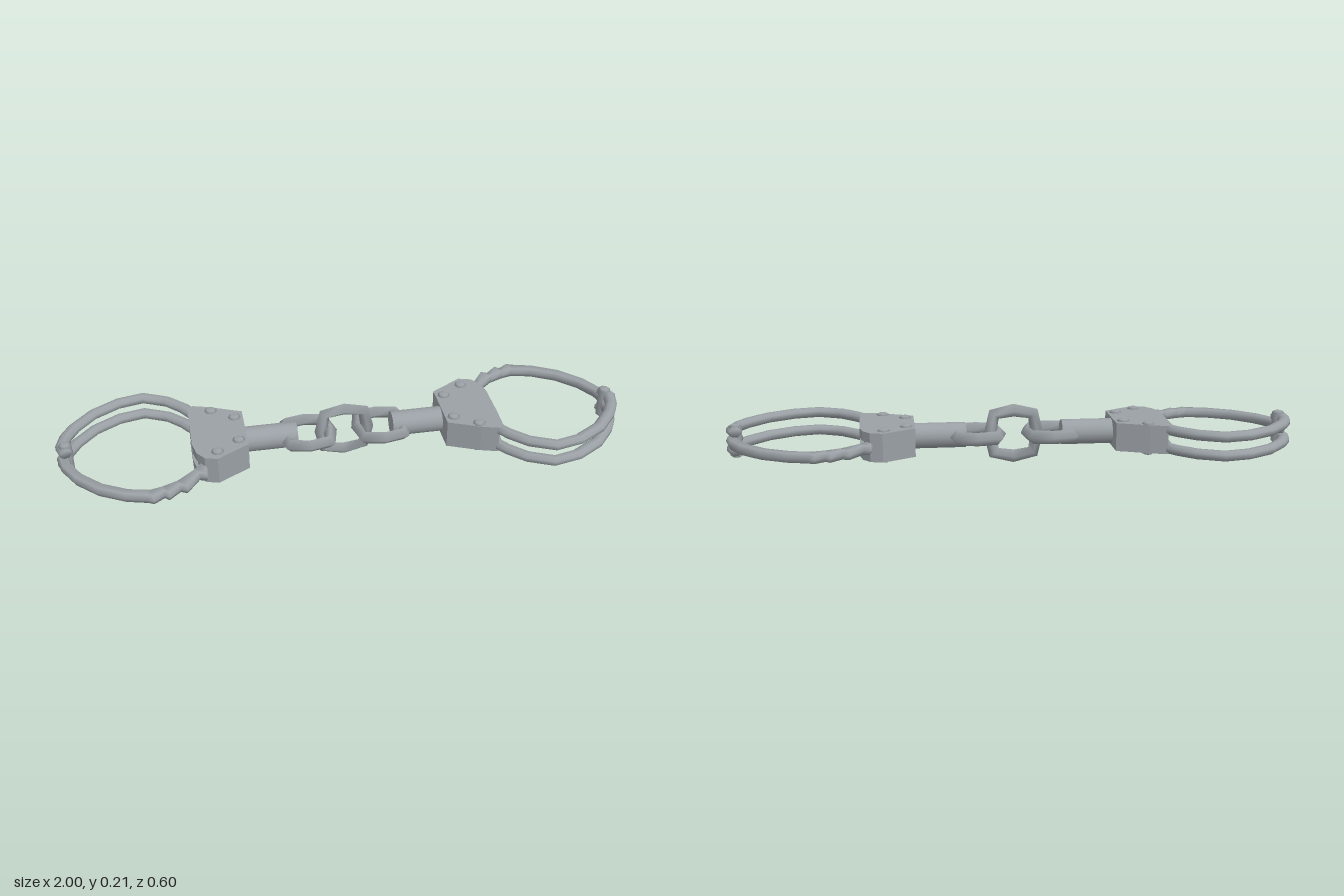
import * as THREE from 'three';

const MID = 0.108; // height of the mid plane
const steel = new THREE.MeshStandardMaterial({ color: 0x9aa0a5 });
steel.name = 'steel';

// Sweeps a cross-section along a path in the xz plane.
// section(i) returns [outward, up] pairs, going from outward to up.
function sweep(path, section, closed = false) {
  const n = path.length, pos = [], idx = [];
  const m = section(0).length;
  for (let i = 0; i < n; i++) {
    const a = closed ? path[(i + n - 1) % n] : path[Math.max(i - 1, 0)];
    const b = closed ? path[(i + 1) % n] : path[Math.min(i + 1, n - 1)];
    const t = new THREE.Vector2(b[0] - a[0], b[1] - a[1]).normalize();
    for (const [u, v] of section(i)) pos.push(path[i][0] + t.y * u, v, path[i][1] - t.x * u);
  }
  for (let i = 0; i < (closed ? n : n - 1); i++) {
    for (let j = 0; j < m; j++) {
      const k = (j + 1) % m, r = i * m, s = ((i + 1) % n) * m;
      idx.push(r + j, r + k, s + j, r + k, s + k, s + j);
    }
  }
  if (!closed) {
    const e = (n - 1) * m;
    for (let j = 1; j < m - 1; j++) idx.push(0, j + 1, j, e, e + j, e + j + 1);
  }
  const g = new THREE.BufferGeometry();
  g.setAttribute('position', new THREE.Float32BufferAttribute(pos, 3));
  g.setIndex(idx);
  g.computeVertexNormals();
  return g;
}

function part(parent, name, geometry, x = 0, y = 0, z = 0) {
  const mesh = new THREE.Mesh(geometry, steel);
  mesh.name = name;
  mesh.position.set(x, y, z);
  parent.add(mesh);
  return mesh;
}

// Flat plate from an xz outline, between two heights
function plate(outline, y0, y1) {
  const shape = new THREE.Shape(outline.map(([x, z]) => new THREE.Vector2(x, -z)));
  const g = new THREE.ExtrudeGeometry(shape, { depth: y1 - y0, bevelEnabled: false });
  return g.rotateX(-Math.PI / 2).translate(0, y0, 0);
}

const ellipse = (rx, ry, n) => Array.from({ length: n }, (_, j) => {
  const a = ((j + 0.5) / n) * Math.PI * 2;
  return [Math.cos(a) * rx, Math.sin(a) * ry];
});

// Chain link: squared octagon ring with a diamond section
function linkGeometry() {
  const path = Array.from({ length: 8 }, (_, i) => {
    const a = (i * Math.PI) / 4, r = i % 2 ? 0.098 : 0.083;
    return [Math.cos(a) * r, -Math.sin(a) * r];
  });
  const diamond = [[0.023, 0], [0, 0.024], [-0.023, 0], [0, -0.024]];
  return sweep(path, () => diamond, true);
}

function createCuff() {
  const cuff = new THREE.Group();

  // Twin fixed rails, from the hinge round to the housing
  const railPath = [[0.963, -0.022], [0.979, 0.02], [0.965, 0.075], [0.935, 0.13], [0.87, 0.205],
    [0.78, 0.26], [0.69, 0.28], [0.605, 0.24], [0.55, 0.185], [0.5, 0.11]];
  const railSection = ellipse(0.022, 0.0184, 8);
  const rail = sweep(railPath, () => railSection);
  for (const s of [1, -1]) part(cuff, s > 0 ? 'upperRail' : 'lowerRail', rail, 0, MID + s * 0.033, 0);

  // Swinging arm; the third value pushes the outer edge out to form ratchet teeth
  const armPath = [[0.48, -0.1, 0.02], [0.512, -0.15, 0.02], [0.53, -0.172, 0.04], [0.535, -0.178, 0.018],
    [0.592, -0.228, 0.036], [0.598, -0.231, 0.016], [0.645, -0.252, 0.034], [0.651, -0.254, 0.016],
    [0.69, -0.264, 0.032], [0.7, -0.264, 0.022], [0.77, -0.247, 0.02], [0.855, -0.2, 0.02],
    [0.925, -0.13, 0.02], [0.965, -0.06, 0.02], [0.979, 0, 0.02], [0.962, 0.045, 0.018]];
  const arm = sweep(armPath, (i) => {
    const o = armPath[i][2];
    return [[o, 0], [o - 0.008, 0.0165], [-0.014, 0.0165], [-0.02, 0], [-0.014, -0.0165], [o - 0.008, -0.0165]];
  });
  part(cuff, 'swingArm', arm, 0, MID, 0);

  // Lock housing: two cheek plates around a recessed core
  const cheek = [[0.35, -0.102], [0.462, -0.168], [0.505, -0.155], [0.53, -0.12], [0.54, -0.07],
    [0.54, 0.07], [0.537, 0.15], [0.52, 0.168], [0.46, 0.15], [0.35, 0.102]];
  const core = cheek.map(([x, z]) => [Math.min(x, 0.525), z]);
  part(cuff, 'upperCheek', plate(cheek, MID + 0.0165, MID + 0.05));
  part(cuff, 'lowerCheek', plate(cheek, MID - 0.05, MID - 0.0165));
  part(cuff, 'lockCore', plate(core, MID - 0.0165, MID + 0.0165));

  // Rivets through the housing and the hinge pin
  const pinProfile = [[0, -0.058], [0.014, -0.058], [0.022, -0.052], [0.022, 0.052], [0.014, 0.058], [0, 0.058]]
    .map(([r, y]) => new THREE.Vector2(r, y));
  const pin = new THREE.LatheGeometry(pinProfile, 8);
  for (const s of [1, -1]) {
    part(cuff, 'rivet', pin, 0.458, MID, s * 0.125);
    part(cuff, 'rivet', pin, 0.38, MID, s * 0.07);
  }
  part(cuff, 'hingePin', pin, 0.965, MID, 0.004);

  // Swivel barrel and its chain link
  const barrel = new THREE.CylinderGeometry(0.045, 0.045, 0.19, 16).rotateZ(Math.PI / 2);
  part(cuff, 'swivelBarrel', barrel, 0.265, MID, 0);
  part(cuff, 'sideLink', linkGeometry(), 0.132, MID, 0);
  return cuff;
}

export function createModel() {
  const model = new THREE.Group();
  model.name = 'handcuffs';

  // Two cuffs, one turned half way round
  for (const [name, turn] of [['leftCuff', 0], ['rightCuff', Math.PI]]) {
    const cuff = createCuff();
    cuff.name = name;
    cuff.rotation.y = turn;
    model.add(cuff);
  }

  // Upright link in the middle of the chain
  part(model, 'middleLink', linkGeometry().rotateX(Math.PI / 2), 0, MID, 0);
  return model;
}
